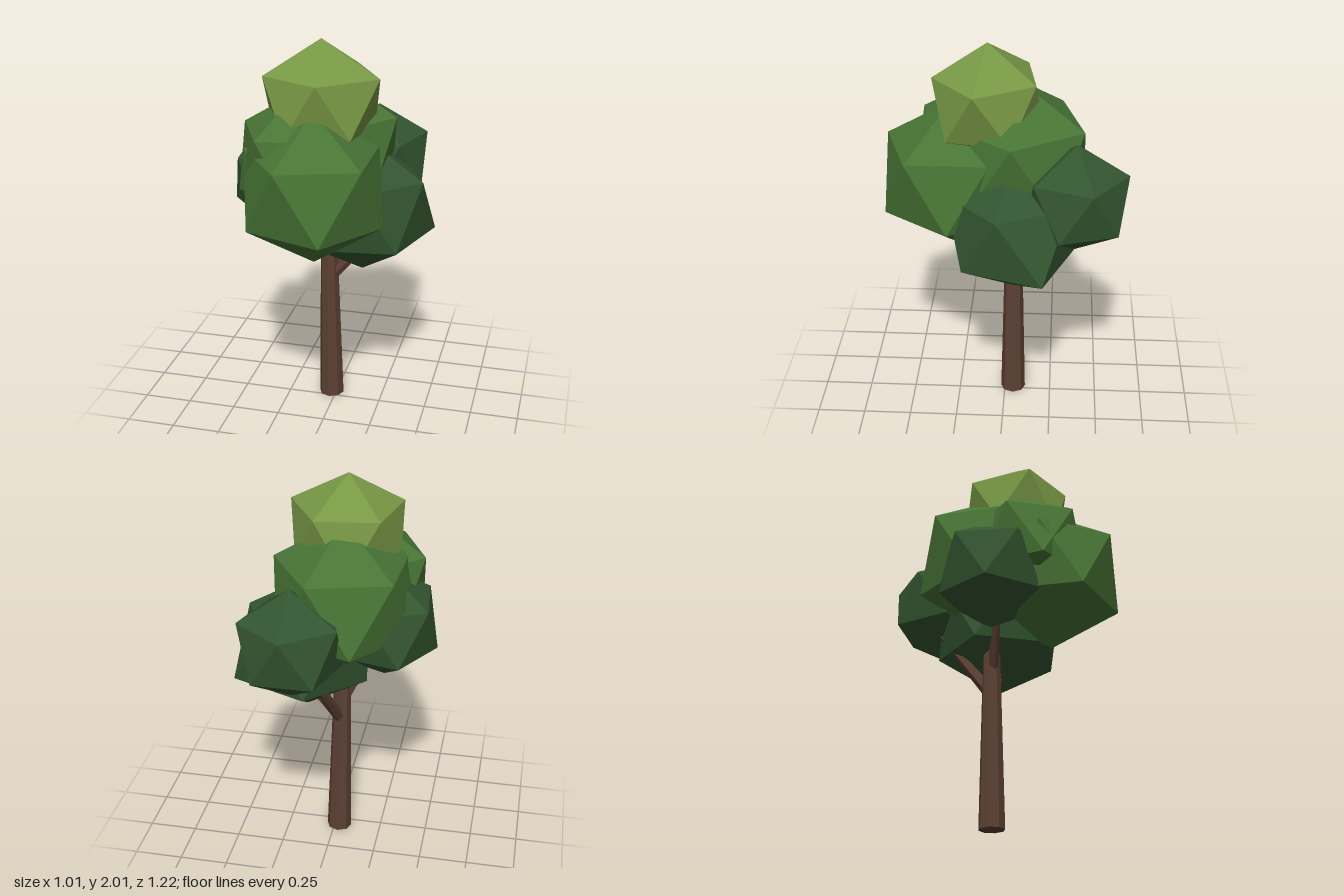
import * as THREE from 'three';

const mat = (name, color) => {
  const m = new THREE.MeshStandardMaterial({ color, flatShading: true });
  m.name = name;
  return m;
};

// Twelve-cornered leaf clump: top, two staggered rings of five, bottom.
// turn = angle in degrees of the first upper corner, from +x towards +z
function clumpGeometry(r, turn, nudge = {}) {
  const pts = [[0, r, 0]];
  for (const [y, offset, key] of [[0.447, 0, 'upper'], [-0.447, 36, 'lower']]) {
    for (let i = 0; i < 5; i++) {
      const a = THREE.MathUtils.degToRad(turn + offset + i * 72);
      const k = r * 0.894 * (nudge[key + i] ?? 1);
      pts.push([Math.cos(a) * k, y * r, Math.sin(a) * k]);
    }
  }
  pts.push([0, -r, 0]);

  const index = [];
  for (let i = 0; i < 5; i++) {
    const j = (i + 1) % 5;
    const [u0, u1, l0, l1] = [1 + i, 1 + j, 6 + i, 6 + j];
    index.push(0, u1, u0, u0, u1, l0, l0, u1, l1, l0, l1, 11);
  }
  const g = new THREE.BufferGeometry();
  g.setAttribute('position', new THREE.Float32BufferAttribute(pts.flat(), 3));
  g.setIndex(index);
  const flat = g.toNonIndexed();
  flat.computeVertexNormals();
  return flat;
}

// Tapered limb between two points
function limb(name, material, from, to, r0, r1, sides) {
  const a = new THREE.Vector3(...from), b = new THREE.Vector3(...to);
  const dir = b.clone().sub(a);
  const mesh = new THREE.Mesh(new THREE.CylinderGeometry(r1, r0, dir.length(), sides), material);
  mesh.position.copy(a).add(b).multiplyScalar(0.5);
  mesh.quaternion.setFromUnitVectors(new THREE.Vector3(0, 1, 0), dir.normalize());
  mesh.name = name;
  return mesh;
}

export function createModel() {
  const tree = new THREE.Group();
  tree.name = 'tree';

  const bark = mat('bark brown', 0x5c4033);
  const dark = mat('dark leaf green', 0x335530);
  const mid = mat('leaf green', 0x487535);
  const light = mat('sunlit leaf green', 0x789845);

  // Trunk and branches
  tree.add(
    limb('trunk', bark, [-0.025, 0, -0.045], [-0.045, 1.2, -0.045], 0.066, 0.038, 8),
    limb('backBranch', bark, [-0.03, 0.7, -0.05], [0.06, 1.12, -0.36], 0.034, 0.016, 6),
    limb('leftBranch', bark, [-0.02, 0.71, -0.045], [0.22, 0.98, -0.03], 0.03, 0.018, 6),
    limb('rightBranch', bark, [-0.04, 0.8, -0.04], [-0.2, 1.1, 0.02], 0.03, 0.016, 6),
  );

  // Leaf clumps: name, material, centre, radius, turn, corner nudges
  const clumps = [
    ['backClump', dark, [0.155, 1.285, -0.36], 0.287, -90],
    ['leftClump', dark, [0.14, 1.13, -0.04], 0.362, 11, { lower4: 1.2 }],
    ['rightClump', dark, [-0.25, 1.265, 0], 0.3, 67],
    ['frontClump', mid, [-0.04, 1.31, 0.27], 0.39, 36],
    ['middleClump', mid, [-0.05, 1.42, -0.06], 0.4, -69],
    ['smallSideClump', mid, [-0.14, 1.43, 0.17], 0.33, 47],
    ['topClump', light, [-0.045, 1.7, 0.085], 0.305, 10, { upper0: 1.12, upper2: 1.06 }],
  ];
  for (const [name, material, centre, r, turn, nudge] of clumps) {
    const mesh = new THREE.Mesh(clumpGeometry(r, turn, nudge), material);
    mesh.position.set(...centre);
    mesh.name = name;
    tree.add(mesh);
  }
  return tree;
}
